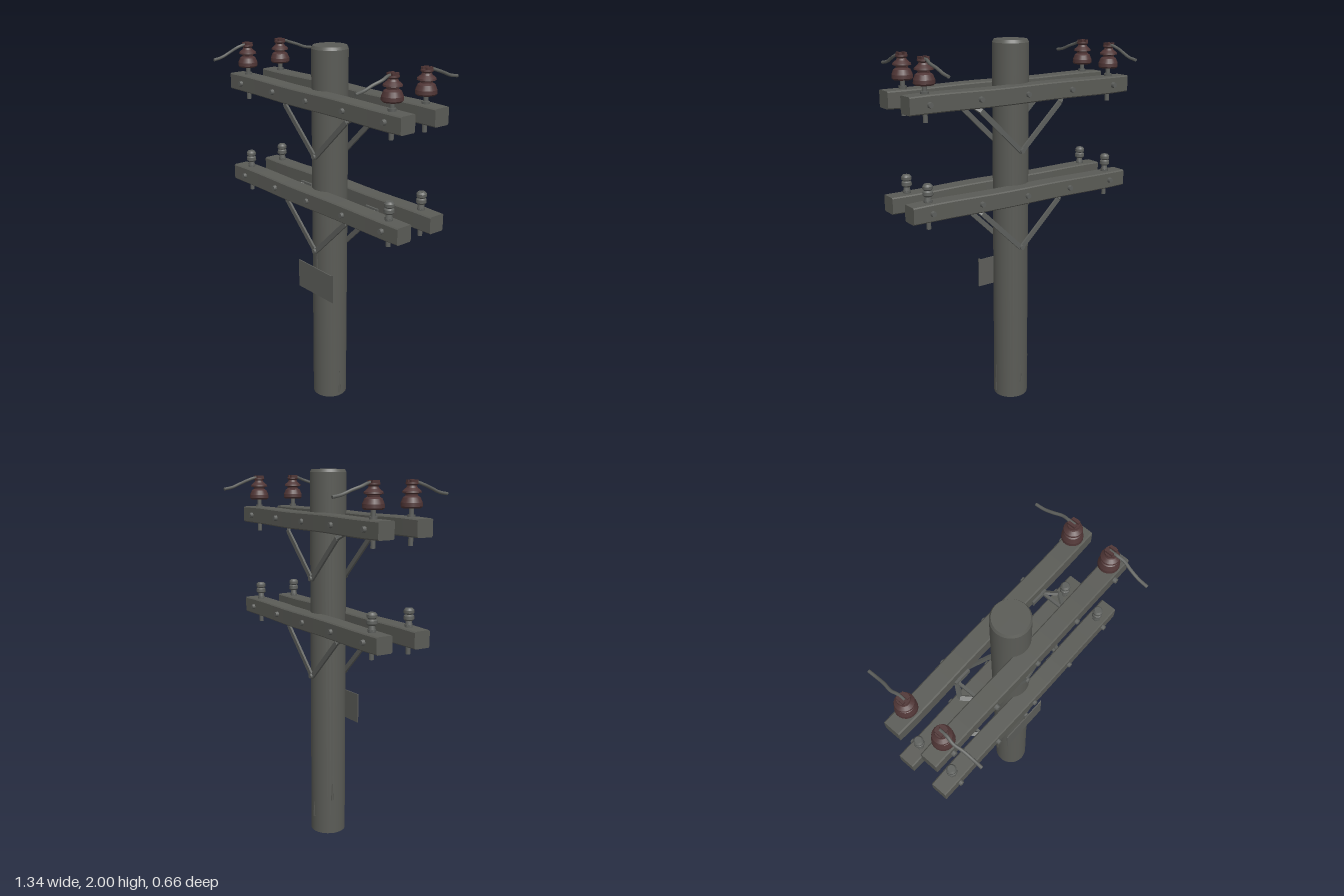
import * as THREE from 'three';

const paint = (name, color, side = THREE.FrontSide) => {
  const m = new THREE.MeshStandardMaterial({ color, side });
  m.name = name;
  return m;
};

export function createModel() {
  const root = new THREE.Group();
  root.name = 'utilityPole';
  const wood = paint('weathered wood', 0x5a5b56);
  const metal = paint('grey metal', 0x5d5f5c);
  const ceramic = paint('brown ceramic', 0x4f3535);
  const signPaint = paint('grey sign', 0x5c5d59, THREE.DoubleSide);

  const add = (parent, name, geo, mat, x = 0, y = 0, z = 0) => {
    const mesh = new THREE.Mesh(geo, mat);
    mesh.name = name;
    mesh.position.set(x, y, z);
    parent.add(mesh);
    return mesh;
  };
  const lathe = (pts, n = 16) =>
    new THREE.LatheGeometry(pts.map(([r, y]) => new THREE.Vector2(r, y)), n);

  // Lathe whose hard corners stay sharp: one open band per profile segment
  const turned = (parent, name, pts, mat, n, x, y, z) => {
    const g = new THREE.Group();
    g.name = name;
    g.position.set(x, y, z);
    for (let i = 0; i < pts.length - 1; i++) add(g, name + 'Band', lathe([pts[i], pts[i + 1]], n), mat);
    parent.add(g);
    return g;
  };

  // Flat bar between two points, with its width lying in the front plane
  const bar = (parent, name, a, b, width, depth, mat) => {
    const dir = b.clone().sub(a);
    const mesh = add(parent, name, new THREE.BoxGeometry(width, dir.length(), depth), mat);
    mesh.position.copy(a).add(b).multiplyScalar(0.5);
    mesh.quaternion.setFromUnitVectors(new THREE.Vector3(0, 1, 0), dir.normalize());
    return mesh;
  };
  const V = (x, y, z) => new THREE.Vector3(x, y, z);

  // Pole with a small chamfer round the top
  turned(root, 'pole', [[0, 0], [0.095, 0], [0.095, 1.985], [0.087, 2], [0, 2]], wood, 32, 0, 0, 0);
  // Raised splinters on the pole
  for (const [a, y, h] of [[1.5, 0.13, 0.22], [3.2, 0.16, 0.14], [0.05, 0.9, 0.25], [4.4, 0.3, 0.2]]) {
    const s = add(root, 'splinter', new THREE.ConeGeometry(0.01, h, 4), wood,
      Math.sin(a) * 0.092, y, Math.cos(a) * 0.092);
    s.rotation.y = a;
  }

  // Crossarm: a chamfered beam, slightly worn along its length
  const armShape = new THREE.Shape();
  const w = 0.047, h = 0.045, c = 0.006;
  [[-w + c, -h], [w - c, -h], [w, -h + c], [w, h - c], [w - c, h], [-w + c, h], [-w, h - c], [-w, -h + c]]
    .forEach(([x, y], i) => (i ? armShape.lineTo(x, y) : armShape.moveTo(x, y)));
  const makeArm = () => {
    const g = new THREE.ExtrudeGeometry(armShape, { depth: 1.34, steps: 12, bevelEnabled: false });
    g.translate(0, 0, -0.67);
    g.rotateY(Math.PI / 2);
    const p = g.attributes.position;
    for (let i = 0; i < p.count; i++) {
      const x = p.getX(i), end = Math.abs(x) > 0.66 ? 0.97 : 1;
      p.setY(i, p.getY(i) * end + 0.002 * Math.sin(x * 9));
      p.setZ(i, p.getZ(i) * end + 0.002 * Math.sin(x * 7 + 1));
    }
    g.computeVertexNormals();
    return g;
  };

  const bolt = (parent, x, y, z) => {
    const b = add(parent, 'bolt', new THREE.CylinderGeometry(0.013, 0.016, 0.02, 8), metal, x, y, z);
    b.rotation.x = Math.PI / 2;
  };

  // Large ribbed insulator with a grooved head
  const bigProfile = [[0, 0], [0.046, 0], [0.053, 0.008], [0.052, 0.026], [0.042, 0.05], [0.029, 0.058],
    [0.03, 0.066], [0.047, 0.072], [0.045, 0.08], [0.028, 0.094], [0.022, 0.104], [0.031, 0.112], [0.03, 0.12], [0, 0.12]];
  const smallProfile = [[0, 0], [0.02, 0], [0.027, 0.008], [0.026, 0.024], [0.019, 0.031],
    [0.026, 0.038], [0.026, 0.052], [0.018, 0.062], [0, 0.062]];

  // One half of a crossarm set, facing +z
  const makeSide = (y, top) => {
    const g = new THREE.Group();
    g.name = 'crossarmSide';
    add(g, 'crossarm', makeArm(), wood, 0, y, 0.111);
    for (const x of [-0.565, -0.28, 0, 0.28, 0.565]) bolt(g, x, y, 0.163);
    bolt(g, 0, y - 0.3, 0.108);
    for (const s of [-1, 1]) {
      // Diagonal brace, bent inward under the arm
      const foot = V(0, y - 0.305, 0.102), bend = V(s * 0.245, y - 0.07, 0.102), tip = V(s * 0.3, y - 0.025, 0.056);
      bar(g, 'brace', foot, bend, 0.026, 0.012, metal);
      bar(g, 'braceBend', bend, tip, 0.024, 0.012, metal);
      add(g, 'bracePlate', new THREE.BoxGeometry(0.09, 0.03, 0.012), metal, s * 0.27, y - 0.025, 0.058);
      // Half of the tie and its spreader between the two arms
      add(g, 'tieBar', new THREE.BoxGeometry(0.014, 0.014, 0.065), metal, s * 0.3, y - 0.03, 0.0325);
      bar(g, 'spreader', V(s * 0.305, y - 0.03, 0.06), V(s * 0.35, y - 0.03, 0), 0.022, 0.012, metal);

      // Insulator pin through the arm
      const x = s * 0.565, z = 0.11;
      const hi = top ? 0.095 : 0.04;
      add(g, 'pin', new THREE.CylinderGeometry(0.012, 0.012, hi + 0.09, 10), metal, x, y + (hi - 0.09) / 2, z);
      add(g, 'pinNut', new THREE.CylinderGeometry(0.021, 0.021, 0.014, 6), metal, x, y + 0.051, z);
      if (top) {
        turned(g, 'insulator', bigProfile, ceramic, 18, x, y + 0.088, z);
        for (const e of [-1, 1])
          add(g, 'insulatorEar', new THREE.BoxGeometry(0.014, 0.014, 0.04), ceramic, x + e * 0.014, y + 0.213, z);
        // Loose wire end
        const path = new THREE.CatmullRomCurve3([
          V(x, 1.945, 0.1), V(x, 1.945, 0.14), V(x + s * 0.006, 1.932, 0.18), V(x - s * 0.002, 1.915, 0.23),
          V(x - s * 0.005, 1.896, 0.28), V(x - s * 0.005, 1.887, 0.33)]);
        add(g, 'wire', new THREE.TubeGeometry(path, 20, 0.008, 8), metal);
        const cap = add(g, 'wireEnd', new THREE.CircleGeometry(0.008, 8), metal, x - s * 0.005, 1.887, 0.33);
        cap.rotation.x = 0.15;
      } else {
        turned(g, 'smallInsulator', smallProfile, metal, 12, x, y + 0.078, z);
        add(g, 'pinCollar', new THREE.CylinderGeometry(0.014, 0.02, 0.028, 10), metal, x, y + 0.066, z);
      }
    }
    return g;
  };

  // Two levels, each with a front and a back arm
  for (const [y, top] of [[1.738, true], [1.208, false]]) {
    const front = makeSide(y, top);
    const back = makeSide(y, top);
    back.rotation.y = Math.PI;
    root.add(front, back);
  }

  // Sign plate with slightly uneven corners
  const sign = new THREE.Shape();
  [[-0.146, 0.648], [0.146, 0.645], [0.146, 0.81], [0.125, 0.802], [-0.146, 0.808]]
    .forEach(([x, y], i) => (i ? sign.lineTo(x, y) : sign.moveTo(x, y)));
  add(root, 'sign', new THREE.ExtrudeGeometry(sign, { depth: 0.006, bevelEnabled: false }), signPaint, 0, 0, 0.097);

  return root;
}
